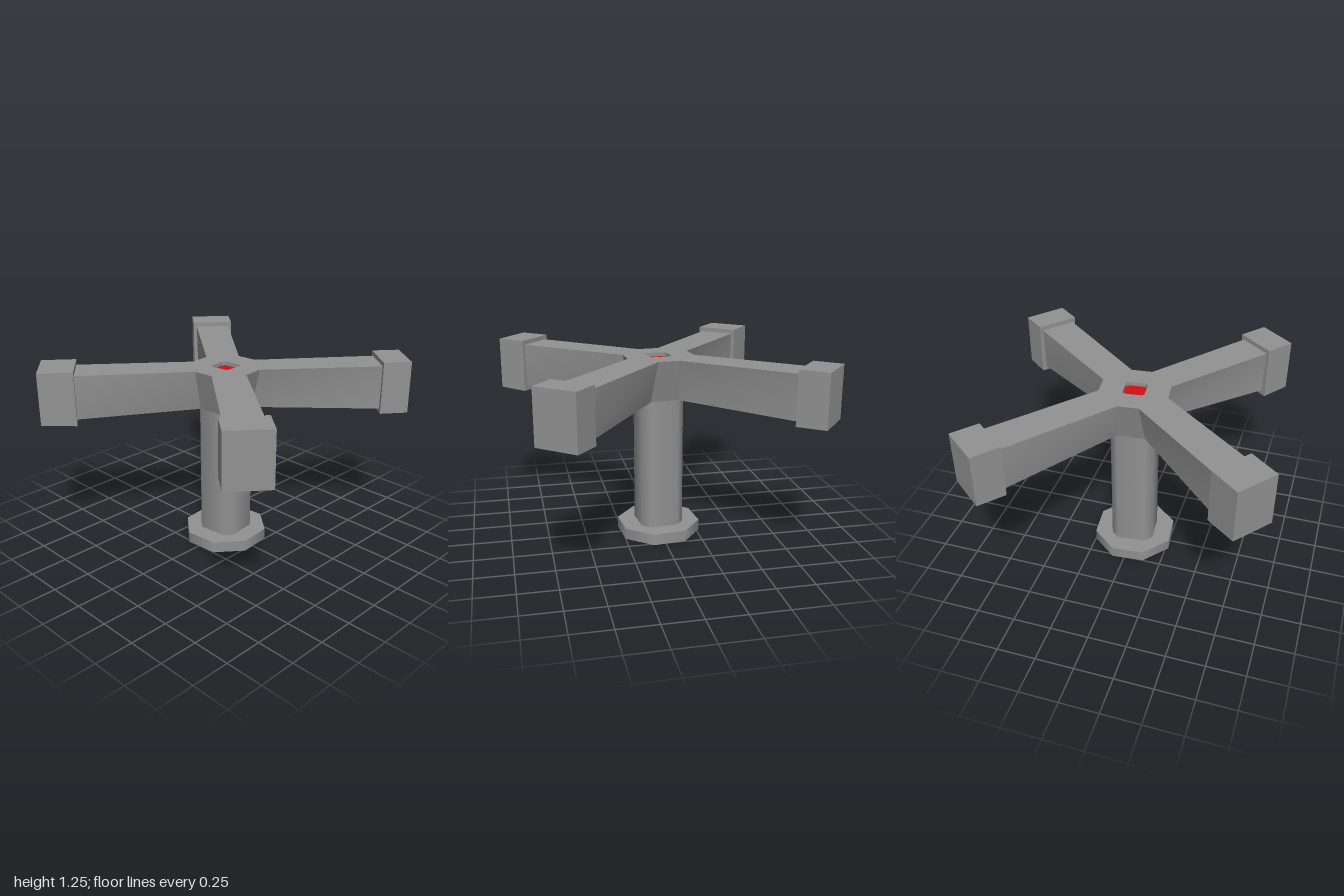
import * as THREE from 'three';

const grey = new THREE.MeshStandardMaterial({ color: 0x929292 });
grey.name = 'grey metal';
const red = new THREE.MeshStandardMaterial({ color: 0xd01010 });
red.name = 'red marker';

// Octagon corners: long sides at distance c, half length t
const octagon = (c, t) => [[c, -t], [c, t], [t, c], [-t, c], [-c, t], [-c, -t], [-t, -c], [t, -c]]
  .map(([x, y]) => new THREE.Vector2(x, y));

// Six-sided block along +x with an inner and an outer end section
function taperedBlock(inner, outer) {
  const g = new THREE.BoxGeometry(1, 1, 1);
  const p = g.attributes.position;
  for (let i = 0; i < p.count; i++) {
    const s = p.getX(i) < 0 ? inner : outer;
    const [r, y, w] = p.getY(i) > 0 ? s.top : s.bottom;
    p.setXYZ(i, r, y, Math.sign(p.getZ(i)) * w);
  }
  g.computeVertexNormals();
  return g;
}

export function createModel() {
  const model = new THREE.Group();
  model.name = 'crossHandle';
  model.rotation.y = THREE.MathUtils.degToRad(5.5);
  const add = (name, geometry, material, parent = model) => {
    const mesh = new THREE.Mesh(geometry, material);
    mesh.name = name;
    parent.add(mesh);
    return mesh;
  };

  // Foot plate
  const base = new THREE.CylinderGeometry(0.28, 0.28, 0.075, 8, 1, false, Math.PI / 8);
  add('base', base, grey).position.y = 0.0375;

  // Stem: octagon with narrow sides below the arms
  const stem = new THREE.CylinderGeometry(0.17, 0.17, 0.87, 8, 1, true, Math.PI / 8);
  const sp = stem.attributes.position;
  for (let i = 0; i < sp.count; i++) {
    const x = sp.getX(i), z = sp.getZ(i), wide = Math.abs(x) > Math.abs(z);
    sp.setX(i, Math.sign(x) * (wide ? 0.142 : 0.092));
    sp.setZ(i, Math.sign(z) * (wide ? 0.092 : 0.142));
  }
  add('stem', stem, grey).position.y = 0.51;

  // Hub: flares from the stem up to the arms, with a recess in the top
  const shape = new THREE.Shape(octagon(0.22, 0.067));
  shape.holes.push(new THREE.Path(octagon(0.07, 0.055).reverse()));
  const hub = new THREE.ExtrudeGeometry(shape, { depth: 0.275, bevelEnabled: false });
  hub.rotateX(-Math.PI / 2);
  const hp = hub.attributes.position;
  for (let i = 0; i < hp.count; i++) {
    const x = hp.getX(i), z = hp.getZ(i);
    if (hp.getY(i) > 0.1 || Math.hypot(x, z) < 0.15) continue;
    const wide = Math.abs(x) > Math.abs(z);
    hp.setX(i, Math.sign(x) * (wide ? 0.142 : 0.092));
    hp.setZ(i, Math.sign(z) * (wide ? 0.092 : 0.142));
  }
  hub.computeVertexNormals();
  add('hub', hub, grey).position.y = 0.945;

  // Red floor of the recess
  const marker = new THREE.ShapeGeometry(new THREE.Shape(octagon(0.07, 0.055)));
  marker.rotateX(-Math.PI / 2);
  add('marker', marker, red).position.y = 1.195;

  // Four arms with end blocks, pinched underneath at the hub
  const ends = [[0.975, 1.172], [0.951, 1.174], [0.987, 1.178], [0.995, 1.177]];
  ends.forEach(([near, far], i) => {
    const arm = new THREE.Group();
    arm.name = 'arm' + (i + 1);
    arm.rotation.y = -Math.PI / 4 - i * Math.PI / 2;
    model.add(arm);
    add('armBar', taperedBlock(
      { top: [0.203, 1.22, 0.108], bottom: [0.165, 0.945, 0.035] },
      { top: [near + 0.02, 1.22, 0.118], bottom: [near + 0.02, 0.93, 0.112] }), grey, arm);
    add('endBlock', taperedBlock(
      { top: [near, 1.25, 0.14], bottom: [near, i < 2 ? 0.897 : 0.905, 0.14] },
      { top: [far, 1.25, 0.14], bottom: [far, 0.907, 0.14] }), grey, arm);
  });

  const root = new THREE.Group();
  root.name = 'model';
  root.add(model);
  return root;
}
